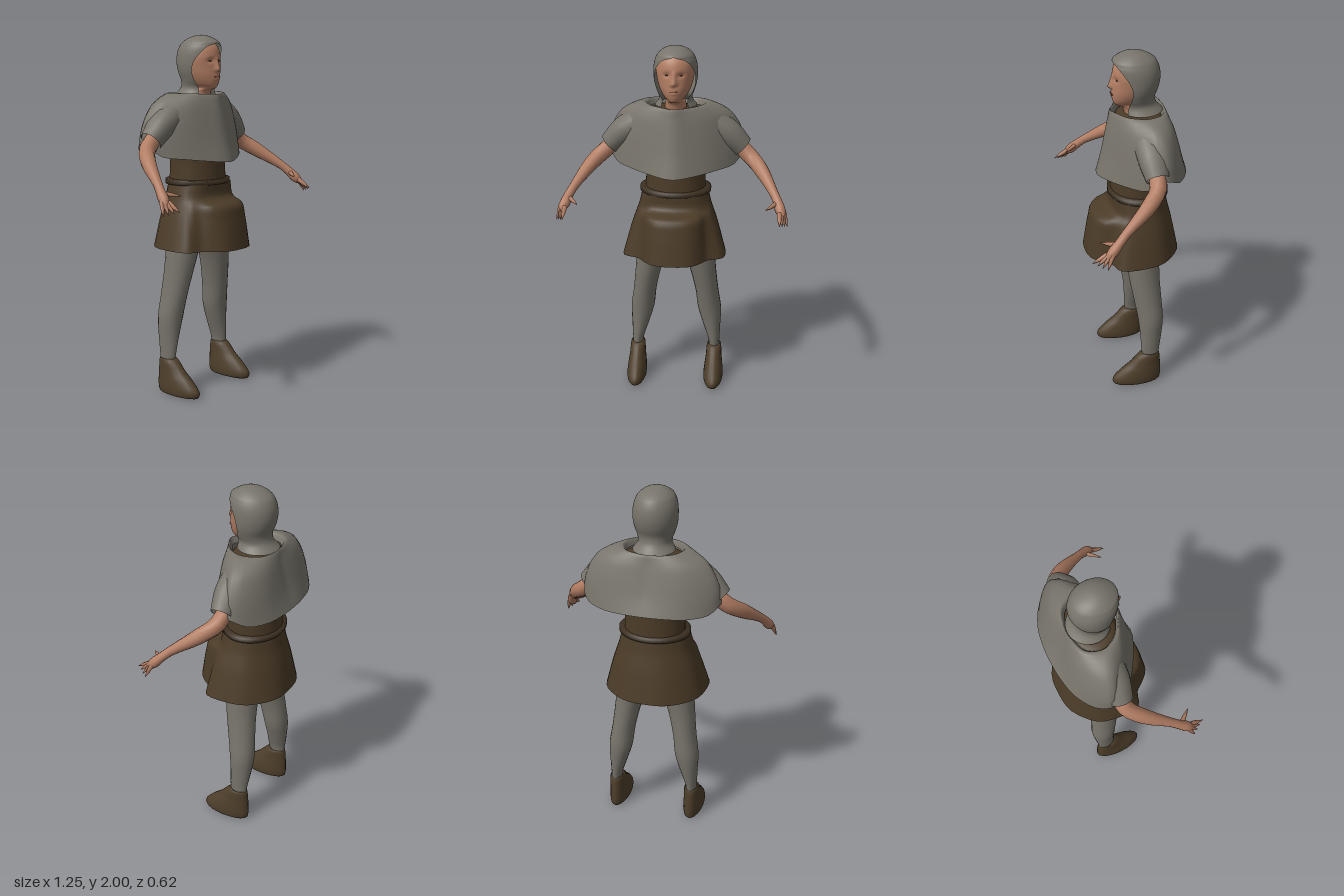
import * as THREE from 'three';

const mat = (name, color, side = THREE.FrontSide) => {
  const m = new THREE.MeshStandardMaterial({ color, side });
  m.name = name;
  return m;
};
const V = (x, y, z) => new THREE.Vector3(x, y, z);
const { lerp, clamp } = THREE.MathUtils;

// Smooth skin over cross-sections with equal point counts, listed bottom to top
function loft(rings, steps = 4, closed = true) {
  const n = rings[0].length, rows = (rings.length - 1) * steps + 1;
  const cols = rings[0].map((_, j) => {
    const pts = rings.map(r => r[j]);
    return steps === 1 ? pts : new THREE.CatmullRomCurve3(pts).getPoints(rows - 1);
  });
  const pos = [], idx = [];
  for (let i = 0; i < rows; i++) for (let j = 0; j < n; j++) pos.push(...cols[j][i].toArray());
  for (let i = 0; i < rows - 1; i++) {
    for (let j = 0; j < (closed ? n : n - 1); j++) {
      const k = (j + 1) % n, a = i * n + j, b = i * n + k;
      idx.push(a, b, b + n, a, b + n, a + n);
    }
  }
  const g = new THREE.BufferGeometry();
  g.setAttribute('position', new THREE.Float32BufferAttribute(pos, 3));
  g.setIndex(idx);
  g.computeVertexNormals();
  return g;
}

// Level oval from zb (back) to zf (front); gap leaves an opening at the front
function oval(y, cx, rx, zf, zb, n = 28, gap = null) {
  const c = (zf + zb) / 2, rz = (zf - zb) / 2, open = gap !== null;
  return Array.from({ length: n }, (_, j) => {
    const t = open ? gap + (2 * Math.PI - 2 * gap) * j / (n - 1) : 2 * Math.PI * j / n;
    return V(cx + rx * Math.sin(t), y, c + rz * Math.cos(t));
  });
}

// Half outline from front to back, mirrored in x and smoothed
function mirrored(half) {
  const pts = half.map(p => V(...p));
  const other = pts.slice(1, -1).reverse().map(p => V(-p.x, p.y, p.z));
  const all = [...pts, ...other];
  return new THREE.CatmullRomCurve3(all, true, 'catmullrom', 0.5).getPoints(all.length * 3).slice(0, -1);
}

// Tapered round limb through [x, y, z, radius] points; s = 1 left, -1 right
function limb(path, s, n = 10, steps = 3) {
  const c = path.map(p => V(p[0] * s, p[1], p[2]));
  return loft(c.map((p, i) => {
    const d = c[Math.min(i + 1, c.length - 1)].clone().sub(c[Math.max(i - 1, 0)]).normalize();
    const u = V(0, 1, 0).cross(d).normalize(), v = d.clone().cross(u);
    return Array.from({ length: n }, (_, j) => {
      const t = 2 * Math.PI * j / n, r = path[i][3];
      return p.clone().addScaledVector(u, r * Math.cos(t)).addScaledVector(v, r * Math.sin(t));
    });
  }), steps);
}

// Head: smooth ovals, then nose, eye sockets and lips shaped on the front
function headGeometry() {
  const geo = loft([
    [1.63, .06, 0, -.13], [1.695, .055, .02, -.13], [1.712, .045, .058, -.13], [1.735, .064, .07, -.14],
    [1.775, .085, .074, -.15], [1.83, .1, .07, -.16], [1.88, .105, .07, -.165], [1.93, .095, .055, -.15],
    [1.965, .06, .02, -.11], [1.98, .001, -.04, -.041],
  ].map(([y, rx, f, b]) => oval(y, 0, rx, f, b, 72)), 6);
  const p = geo.attributes.position;
  const bump = (d, w) => Math.exp(-d * d / (w * w));
  for (let i = 0; i < p.count; i++) {
    const x = p.getX(i), y = p.getY(i);
    if (p.getZ(i) < 0 || y < 1.72) continue;
    const ridge = Math.max(0, y > 1.812 ? (1.885 - y) / .073 : (y - 1.795) / .017);
    const dz = .026 * ridge * bump(x, .009 + .007 * ridge)
      - .011 * bump(Math.abs(x) - .038, .02) * bump(y - 1.86, .013)
      + .005 * bump(x, .022) * (bump(y - 1.782, .006) + bump(y - 1.762, .007));
    p.setZ(i, p.getZ(i) + dz);
  }
  geo.computeVertexNormals();
  return geo;
}

// Cape: hem rises straight to the neckline at front and back, domed over the shoulders
function capeGeometry() {
  const hem = mirrored([[0, 1.31, .165], [.12, 1.32, .12], [.24, 1.335, .045], [.33, 1.35, -.04],
    [.382, 1.42, -.13], [.33, 1.38, -.215], [.22, 1.37, -.28], [.1, 1.37, -.305], [0, 1.37, -.31]]);
  const neck = mirrored([[0, 1.68, .085], [.06, 1.68, .055], [.12, 1.683, .02], [.155, 1.685, -.03],
    [.17, 1.685, -.08], [.155, 1.685, -.14], [.12, 1.683, -.18], [.06, 1.68, -.2], [0, 1.68, -.207]]);
  const rings = [0, .3, .6, .85, 1].map(g => hem.map((h, j) => {
    const w = clamp(Math.abs(h.x) / .38, 0, 1);
    const f = lerp(g ** .8, 1 - Math.sqrt(1 - g * g), w), q = neck[j];
    return V(lerp(h.x, q.x, f), lerp(h.y, q.y, g), lerp(h.z, q.z, f));
  }));
  rings.push(neck.map(q => V(q.x * .88, q.y - .035, lerp(q.z, -.06, .12))));
  return loft(rings);
}

// Skirt: waist flares to the hem, with the front ballooning out below a fold
function skirtGeometry() {
  const hem = mirrored([[0, .83, .24], [.1, .83, .225], [.16, .83, .17], [.2, .83, .12], [.28, .83, .08],
    [.287, .83, -.05], [.25, .83, -.17], [.13, .83, -.27], [0, .83, -.29]]);
  const waist = mirrored([[0, 1.185, .09], [.06, 1.185, .085], [.11, 1.185, .075], [.15, 1.185, .05],
    [.18, 1.185, 0], [.185, 1.185, -.07], [.165, 1.185, -.14], [.09, 1.185, -.2], [0, 1.185, -.22]]);
  // height, flare at the sides and back, flare at the front
  const levels = [[0, 1, 1], [.48, .54, .8], [.68, .3, .66], [.79, .17, .07], [1, 0, 0]];
  return loft(levels.map(([t, sideFlare, frontFlare]) => hem.map((h, j) => {
    const k = lerp(sideFlare, frontFlare, clamp((h.z - .08) / .09, 0, 1)), q = waist[j];
    return V(lerp(q.x, h.x, k), lerp(h.y, q.y, t), lerp(q.z, h.z, k));
  })));
}

export function createModel() {
  const root = new THREE.Group();
  const grey = mat('grey wool', 0x78746b, THREE.DoubleSide);
  const brown = mat('brown tunic', 0x4b3b27, THREE.DoubleSide);
  const leather = mat('boot leather', 0x4d3e2a);
  const strap = mat('belt leather', 0x3d3021, THREE.DoubleSide);
  const skin = mat('skin', 0xb27d63);
  const eyeDark = mat('eye shade', 0x5a3e32);
  const lip = mat('lip shade', 0x7d4c3d);
  const add = (name, geo, m, parent = root) => {
    const mesh = new THREE.Mesh(geo, m);
    mesh.name = name;
    parent.add(mesh);
    return mesh;
  };

  // Head and face
  add('head', headGeometry(), skin);
  for (const s of [1, -1]) {
    const eye = add('eye', new THREE.SphereGeometry(1, 12, 8), eyeDark);
    eye.scale.set(.012, .0035, .004);
    eye.position.set(s * .038, 1.858, .054);
  }
  add('mouth', new THREE.BoxGeometry(.042, .004, .008), lip).position.set(0, 1.772, .0755);

  // Hood with a face opening
  add('hood', loft([
    [1.67, .115, .03, -.2, .7], [1.71, .09, .03, -.165, .85], [1.75, .1, .05, -.157, 1.15],
    [1.8, .115, .065, -.175, 1.25], [1.85, .12, .07, -.185, 1.15], [1.9, .117, .075, -.182, .9],
    [1.935, .107, .075, -.17, .6], [1.957, .095, .068, -.155, 0], [1.982, .065, .03, -.115, 0],
    [1.996, .03, -.01, -.07, 0], [2, .001, -.04, -.042, 0],
  ].map(([y, rx, f, b, gap]) => oval(y, 0, rx, f, b, 41, gap)), 4, false), grey);

  // Cape, tunic, belt and skirt
  add('cape', capeGeometry(), grey);
  add('tunicBody', loft([
    [1.17, .17, .085, -.22], [1.35, .17, .075, -.215], [1.5, .21, .07, -.22], [1.6, .2, .06, -.205],
    [1.645, .14, .04, -.19], [1.66, .06, 0, -.14],
  ].map(([y, rx, f, b]) => oval(y, 0, rx, f, b))), brown);
  add('belt', loft([[1.178, -.02], [1.182, 0], [1.206, 0], [1.21, -.03]]
    .map(([y, d]) => oval(y, 0, .2 + d, .1 + d, -.235 - d, 36)), 1), strap);
  add('skirt', skirtGeometry(), brown);

  for (const s of [1, -1]) {
    const side = s > 0 ? 'left' : 'right';
    // Hose and boot
    add(side + 'Leg', loft([
      [.16, .23, .028, -.055, -.145], [.22, .228, .032, -.045, -.15], [.32, .214, .05, -.04, -.165],
      [.43, .199, .068, -.03, -.176], [.55, .183, .067, -.01, -.17], [.7, .158, .076, .015, -.162],
      [.83, .131, .093, .03, -.165], [1, .1, .1, .04, -.18],
    ].map(([y, cx, rx, f, b]) => oval(y, s * cx, rx, f, b, 18))), grey);
    add(side + 'Boot', loft([
      [.002, .001, -.02, -.022], [.002, .05, .12, -.15], [.03, .057, .13, -.16], [.08, .054, .09, -.16],
      [.13, .047, .03, -.157], [.2, .038, -.045, -.145], [.19, .02, -.07, -.12],
    ].map(([y, rx, f, b]) => oval(y, s * .229, rx, f, b, 20))), leather);

    // Sleeve, forearm and hand
    const arm = new THREE.Group();
    arm.name = side + 'Arm';
    root.add(arm);
    add('sleeve', limb([[.18, 1.58, -.08, .085], [.29, 1.51, -.08, .08], [.37, 1.435, -.085, .062]], s, 12), grey, arm);
    add('forearm', limb([[.29, 1.49, -.09, .045], [.4, 1.395, -.08, .045], [.47, 1.335, -.01, .041],
      [.545, 1.245, .12, .025], [.57, 1.205, .165, .025], [.585, 1.17, .2, .028], [.597, 1.145, .228, .014],
      [.6, 1.14, .235, .001]], s, 12), skin, arm);
    const digit = (name, a, b) => {
      const mid = a.lerp(b, .55).toArray();
      return add(name, limb([[...mid.map((v, k) => (v - .55 * b.getComponent(k)) / .45), .014],
        [...mid, .01], [...b.toArray(), .001]], s, 6, 2), skin, arm);
    };
    for (let i = 0; i < 4; i++) {
      digit('finger', V(.603, 1.17, .2).lerp(V(.58, 1.16, .225), i / 3),
        V(.626, 1.09, .235).lerp(V(.582, 1.115, .305), i / 3));
    }
    digit('thumb', V(.565, 1.2, .175), V(.505, 1.185, .25));
  }
  return root;
}
